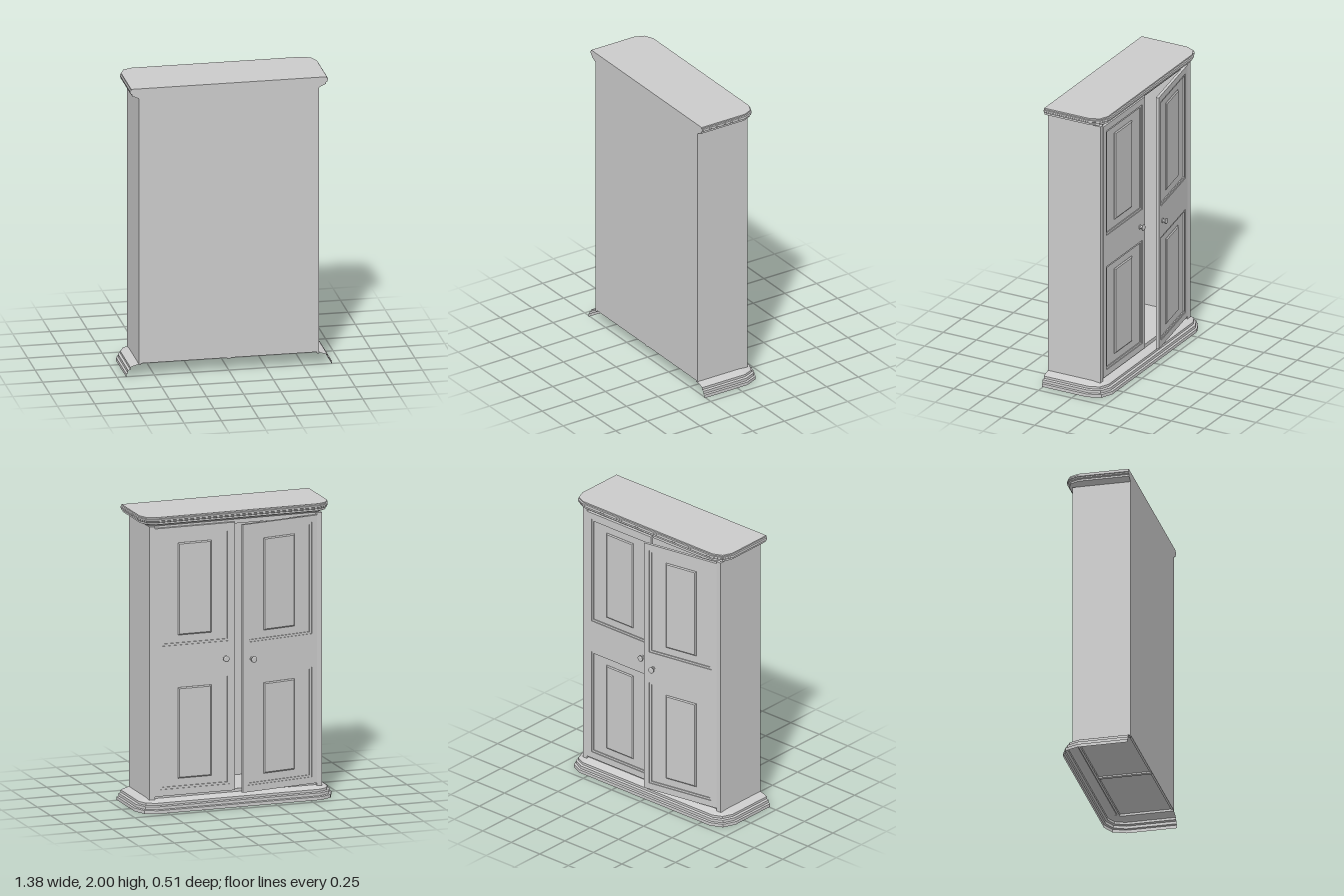
import * as THREE from 'three';

const grey = new THREE.MeshStandardMaterial({ color: 0xcccccc, flatShading: true });
const greyThin = new THREE.MeshStandardMaterial({ color: 0xcccccc, flatShading: true, side: THREE.DoubleSide });
const BACK = -0.26;

function add(parent, name, geometry, material = grey) {
  const mesh = new THREE.Mesh(geometry, material);
  mesh.name = name;
  parent.add(mesh);
  return mesh;
}

// Box given by its minimum and maximum corners
function block(parent, name, [x0, y0, z0], [x1, y1, z1]) {
  const mesh = add(parent, name, new THREE.BoxGeometry(x1 - x0, y1 - y0, z1 - z0));
  mesh.position.set((x0 + x1) / 2, (y0 + y1) / 2, (z0 + z1) / 2);
  return mesh;
}

// Plan outline with chamfered front corners, pushed outwards by o
function outline(o) {
  const half = [[0.605 + o, BACK], [0.605 + o, 0.08], [0.592 + 0.72 * o, 0.107 + 0.72 * o], [0.562 + 0.12 * o, 0.12 + o]];
  return [...half.map(([x, z]) => [-x, z]), ...half.reverse()];
}

// Sweep a profile of [outward offset, height] round the outline
function moulding(profile) {
  const rings = profile.map(([o, y]) => outline(o).map(([x, z]) => [x, y, z]));
  const pos = [];
  for (let j = 0; j < rings.length - 1; j++) {
    for (let i = 0; i < rings[j].length - 1; i++) {
      const a = rings[j][i], b = rings[j][i + 1], c = rings[j + 1][i + 1], d = rings[j + 1][i];
      pos.push(...a, ...b, ...c, ...a, ...c, ...d);
    }
  }
  const g = new THREE.BufferGeometry();
  g.setAttribute('position', new THREE.Float32BufferAttribute(pos, 3));
  g.computeVertexNormals();
  return g;
}

const polygon = (pts) => new THREE.Shape(pts.map(([x, y]) => new THREE.Vector2(x, y)));
const plate = (o, y) =>
  new THREE.ShapeGeometry(polygon(outline(o).map(([x, z]) => [x, -z]))).rotateX(-Math.PI / 2).translate(0, y, 0);

const rect = (x0, y0, x1, y1) => [[x0, y0], [x1, y0], [x1, y1], [x0, y1]];

// Rectangular ring of the given border width and depth
function ring([x0, y0, x1, y1], w, depth) {
  const s = polygon(rect(x0, y0, x1, y1));
  s.holes.push(polygon(rect(x0 + w, y0 + w, x1 - w, y1 - w)));
  return new THREE.ExtrudeGeometry(s, { depth, bevelEnabled: false });
}

// Door hinged at x = 0, reaching to x = w, with its front face at z = 0
function makeDoor(name) {
  const w = 0.56, h = 1.815, t = 0.02;
  const door = new THREE.Group();
  door.name = name;
  const openings = [[0.038, 0.045, w - 0.038, 0.79], [0.038, 1.015, w - 0.038, h - 0.045]];

  const frame = polygon(rect(0, 0, w, h));
  openings.forEach((r) => frame.holes.push(polygon(rect(...r))));
  add(door, 'doorFrame', new THREE.ExtrudeGeometry(frame, { depth: t, bevelEnabled: false }).translate(0, 0, -t));

  for (const r of openings) {
    const [x0, y0, x1, y1] = r;
    block(door, 'doorPanel', [x0, y0, -t], [x1, y1, -0.012]);
    add(door, 'panelMoulding', ring(r, 0.014, 0.008).translate(0, 0, -0.013));
    // Raised field with bevelled edges
    const b = 0.008;
    const field = polygon(rect(x0 + 0.125 + b, y0 + 0.065 + b, x1 - 0.125 - b, y1 - 0.065 - b));
    add(door, 'raisedField', new THREE.ExtrudeGeometry(field, {
      depth: 0.002, bevelSize: b, bevelThickness: 0.006, bevelSegments: 1,
    }).translate(0, 0, -0.012));
  }

  // Turned knob
  const knob = [[0, 0], [0.016, 0], [0.016, 0.004], [0.01, 0.007], [0.01, 0.019], [0.021, 0.023], [0.021, 0.029], [0.015, 0.033], [0, 0.033]];
  const turned = new THREE.LatheGeometry(knob.map(([r, y]) => new THREE.Vector2(r, y)), 12).rotateX(Math.PI / 2);
  add(door, 'knob', turned).position.set(w - 0.07, 0.9, 0);
  return door;
}

export function createModel() {
  const model = new THREE.Group();
  model.name = 'cabinet';
  // Built with the doors towards +z, then turned round
  const cabinet = new THREE.Group();
  cabinet.name = 'cabinetBody';
  cabinet.rotation.y = Math.PI;
  model.add(cabinet);

  // Carcass
  block(cabinet, 'backPanel', [-0.605, 0.09, BACK], [0.605, 1.95, BACK + 0.015]);
  for (const s of [-1, 1]) {
    const [a, b] = s < 0 ? [-0.605, -0.59] : [0.59, 0.605];
    block(cabinet, 'sidePanel', [a, 0.08, BACK], [b, 1.93, 0.135]);
    const [c, d] = s < 0 ? [-0.605, -0.568] : [0.568, 0.605];
    block(cabinet, 'frontStile', [c, 0.08, 0.1], [d, 1.93, 0.135]);
    const [e, f] = s < 0 ? [-0.59, -0.012] : [0.012, 0.59];
    block(cabinet, 'floorPanel', [e, 0.095, BACK], [f, 0.105, 0.115]);
  }
  block(cabinet, 'floorBatten', [-0.012, 0.085, BACK], [0.012, 0.105, 0.115]);
  block(cabinet, 'topRail', [-0.57, 1.9, 0.1], [0.57, 1.95, 0.115]);
  block(cabinet, 'bottomRail', [-0.57, 0.08, 0.1], [0.57, 0.105, 0.115]);

  // Stepped skirting, open at the back and underneath
  const skirting = [[0.085, 0], [0.085, 0.022], [0.072, 0.026], [0.072, 0.045], [0.057, 0.05], [0.057, 0.066], [0.045, 0.072], [0, 0.085], [0, 0.095]];
  add(cabinet, 'skirting', moulding(skirting), greyThin);

  // Cornice with a flat top and closed back
  const cornice = [[0, 1.93], [0.012, 1.937], [0.035, 1.947], [0.045, 1.95], [0.045, 1.962], [0.056, 1.967], [0.056, 1.975], [0.06, 1.978], [0.06, 1.988], [0.052, 1.991], [0.052, 2]];
  add(cabinet, 'cornice', moulding(cornice), greyThin);
  add(cabinet, 'cabinetTop', plate(0.052, 2), greyThin);
  add(cabinet, 'ceiling', plate(0, 1.93), greyThin);
  const side = cornice.map(([o, y]) => [0.605 + o, y]);
  const end = polygon([...side, ...side.map(([x, y]) => [-x, y]).reverse()]);
  add(cabinet, 'corniceBack', new THREE.ShapeGeometry(end).translate(0, 0, BACK), greyThin);

  // Doors: one ajar, the other shut
  const open = makeDoor('openDoor');
  open.position.set(0.568, 0.1, 0.136);
  open.rotation.y = Math.PI;
  // Mirrored so the hinge lies on the other side while the front still faces out
  open.rotation.y = 0.165;
  open.scale.x = -1;
  cabinet.add(open);

  const shut = makeDoor('closedDoor');
  shut.position.set(-0.566, 0.1, 0.137);
  cabinet.add(shut);

  return model;
}
